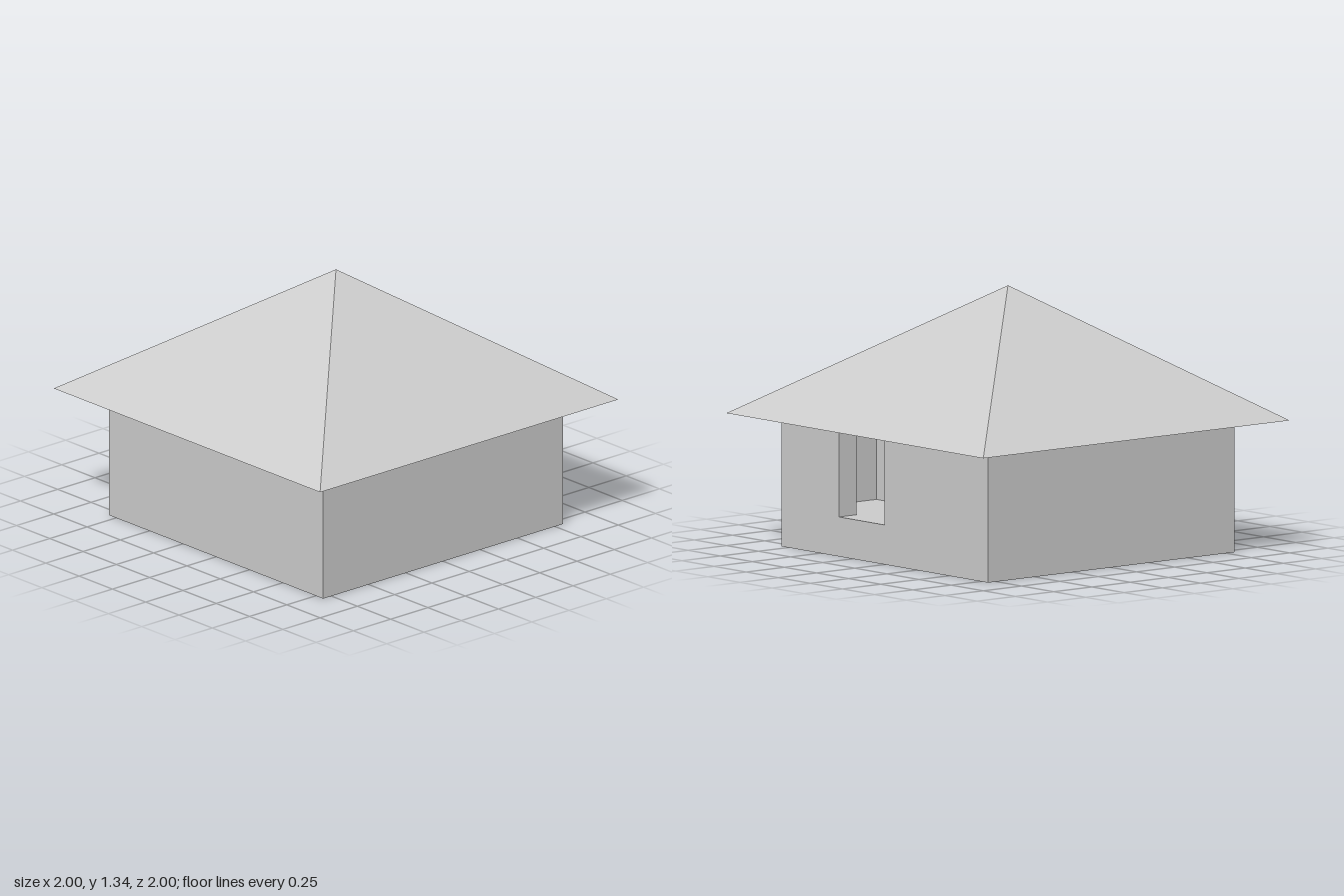
import * as THREE from 'three';

const HALF = 0.805;      // half width of the house
const INNER = 0.69;      // inner face of the outer walls
const SILL = 0.2;        // floor and window sill height
const EAVES = 0.67;      // top of walls, underside of roof
const PEAK = 1.335;

export function createModel() {
  const house = new THREE.Group();
  house.name = 'house';
  const material = new THREE.MeshStandardMaterial({ color: 0xcccccc, flatShading: true });

  const add = (name, geometry, y) => {
    const mesh = new THREE.Mesh(geometry, material);
    mesh.name = name;
    mesh.position.y = y;
    house.add(mesh);
  };

  // Solid base, its top is the room floor
  add('base', new THREE.BoxGeometry(2 * HALF, SILL, 2 * HALF), SILL / 2);

  // Wall plan as [x, z]: outer square, opened by the window into the room
  const room = 0.28;
  const [windowBack, windowFront] = [0, 0.355];
  const plan = [
    [HALF, windowFront], [HALF, HALF], [-HALF, HALF], [-HALF, -HALF], [HALF, -HALF], [HALF, windowBack],
    [INNER, windowBack], [INNER, -INNER], [room, -INNER], [room, INNER], [INNER, INNER], [INNER, windowFront],
  ];
  const shape = new THREE.Shape(plan.map(([x, z]) => new THREE.Vector2(x, -z)));
  const walls = new THREE.ExtrudeGeometry(shape, { depth: EAVES - SILL, bevelEnabled: false });
  walls.rotateX(-Math.PI / 2);
  add('walls', walls, SILL);

  // Four-sided pyramid roof with overhanging eaves
  const roof = new THREE.ConeGeometry(Math.SQRT2, PEAK - EAVES, 4);
  roof.rotateY(Math.PI / 4);
  add('roof', roof, (PEAK + EAVES) / 2);

  return house;
}
